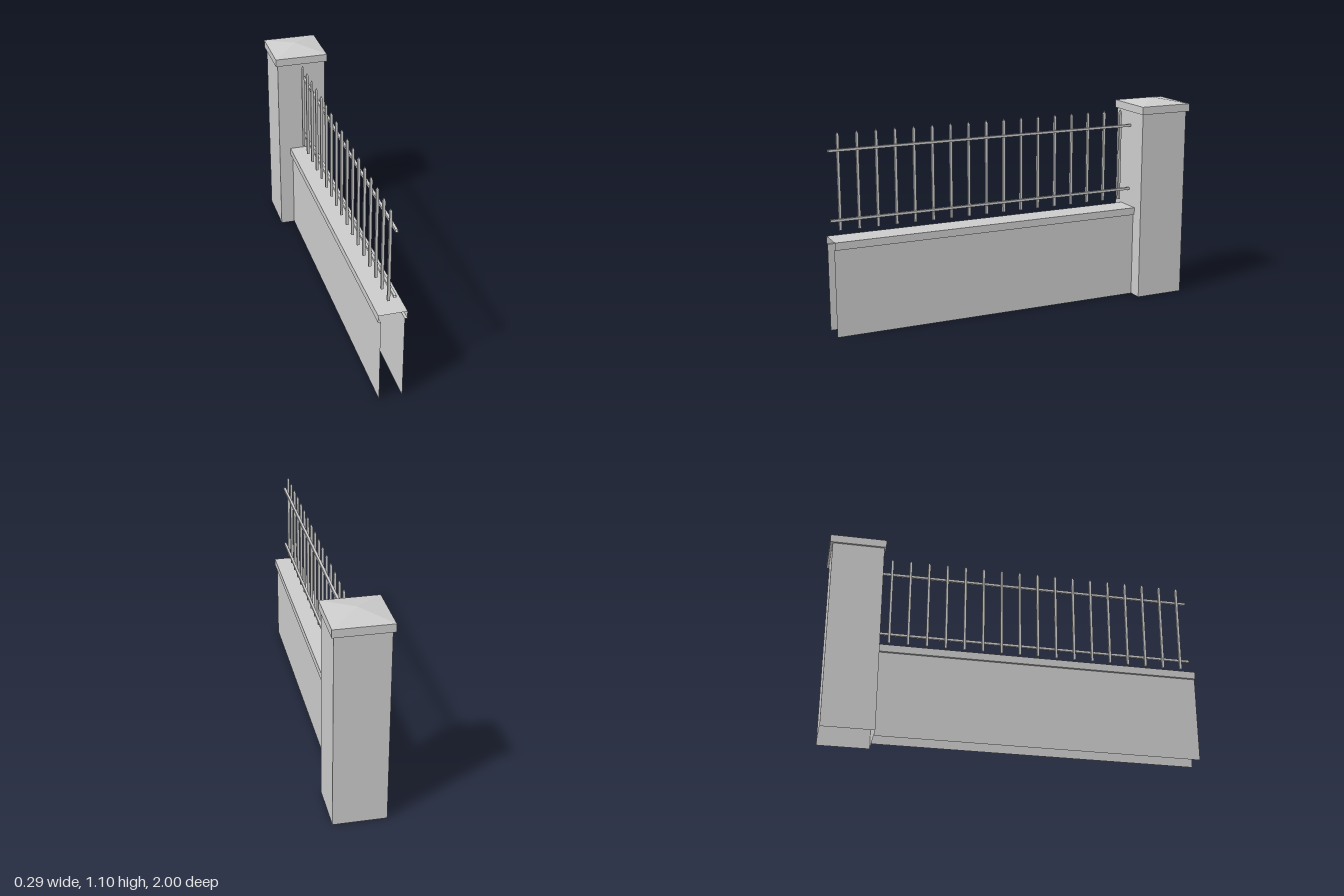
import * as THREE from 'three';

const material = new THREE.MeshStandardMaterial({
  color: 0xcccccc, flatShading: true, side: THREE.DoubleSide,
});

const Z_END = 1;          // free end of the fence
const Z_PILLAR = -0.713;  // face of the pillar the fence runs into

function addMesh(parent, name, geometry, x = 0, y = 0, z = 0) {
  const mesh = new THREE.Mesh(geometry, material);
  mesh.name = name;
  mesh.position.set(x, y, z);
  parent.add(mesh);
  return mesh;
}

// Open-ended strip: an xy polyline (counter-clockwise) swept along z
function sweep(profile, z0 = Z_PILLAR, z1 = Z_END) {
  const positions = [];
  for (let i = 0; i < profile.length - 1; i++) {
    const [ax, ay] = profile[i];
    const [bx, by] = profile[i + 1];
    positions.push(ax, ay, z0, bx, by, z0, bx, by, z1);
    positions.push(ax, ay, z0, bx, by, z1, ax, ay, z1);
  }
  const geometry = new THREE.BufferGeometry();
  geometry.setAttribute('position', new THREE.Float32BufferAttribute(positions, 3));
  geometry.computeVertexNormals();
  return geometry;
}

// Four-sided cylinder with faces square to the axes, standing on y = 0
function squareShaft(bottom, top, height, open) {
  const k = Math.SQRT1_2;
  return new THREE.CylinderGeometry(top * k, bottom * k, height, 4, 1, open)
    .rotateY(Math.PI / 4)
    .translate(0, height / 2, 0);
}

export function createModel() {
  const model = new THREE.Group();
  model.name = 'fenceSection';

  // Pillar: hollow shaft, cap slab and shallow pyramid
  const pillar = new THREE.Group();
  pillar.name = 'pillar';
  pillar.position.z = -0.85;
  model.add(pillar);
  addMesh(pillar, 'pillarShaft', squareShaft(0.272, 0.272, 1.03, true));
  addMesh(pillar, 'pillarCapSlab', squareShaft(0.295, 0.295, 0.042, false), 0, 1.03, -0.0025);
  addMesh(pillar, 'pillarCapPyramid', squareShaft(0.295, 0, 0.027, true), 0, 1.072, -0.0025);

  // Low wall: two faces, open at the bottom and the free end
  const wall = new THREE.Group();
  wall.name = 'lowWall';
  model.add(wall);
  const w = 0.059, c = 0.072;
  addMesh(wall, 'wallRightFace', sweep([[w, 0], [w, 0.46]]));
  addMesh(wall, 'wallLeftFace', sweep([[-w, 0.46], [-w, 0]]));
  addMesh(wall, 'coping', sweep([
    [w, 0.46], [c, 0.46], [c, 0.5], [-c, 0.5], [-c, 0.46], [-w, 0.46],
  ]));

  // Railing: two square rails beside a row of pointed pickets
  const railing = new THREE.Group();
  railing.name = 'railing';
  model.add(railing);
  const t = 0.013;
  for (const [name, y] of [['lowerRail', 0.59], ['upperRail', 0.945]]) {
    addMesh(railing, name, sweep([[0, y], [t, y], [t, y + t], [0, y + t], [0, y]]));
  }
  for (let i = 0; i < 17; i++) {
    const picket = new THREE.Group();
    picket.name = `picket${i + 1}`;
    picket.position.set(-t / 2, 0.54, 0.945 - i * 0.1);
    railing.add(picket);
    addMesh(picket, 'picketBar', squareShaft(t, t, 0.485, false));
    addMesh(picket, 'picketTip', squareShaft(t, 0, 0.017, true), 0, 0.485, 0);
  }
  return model;
}
